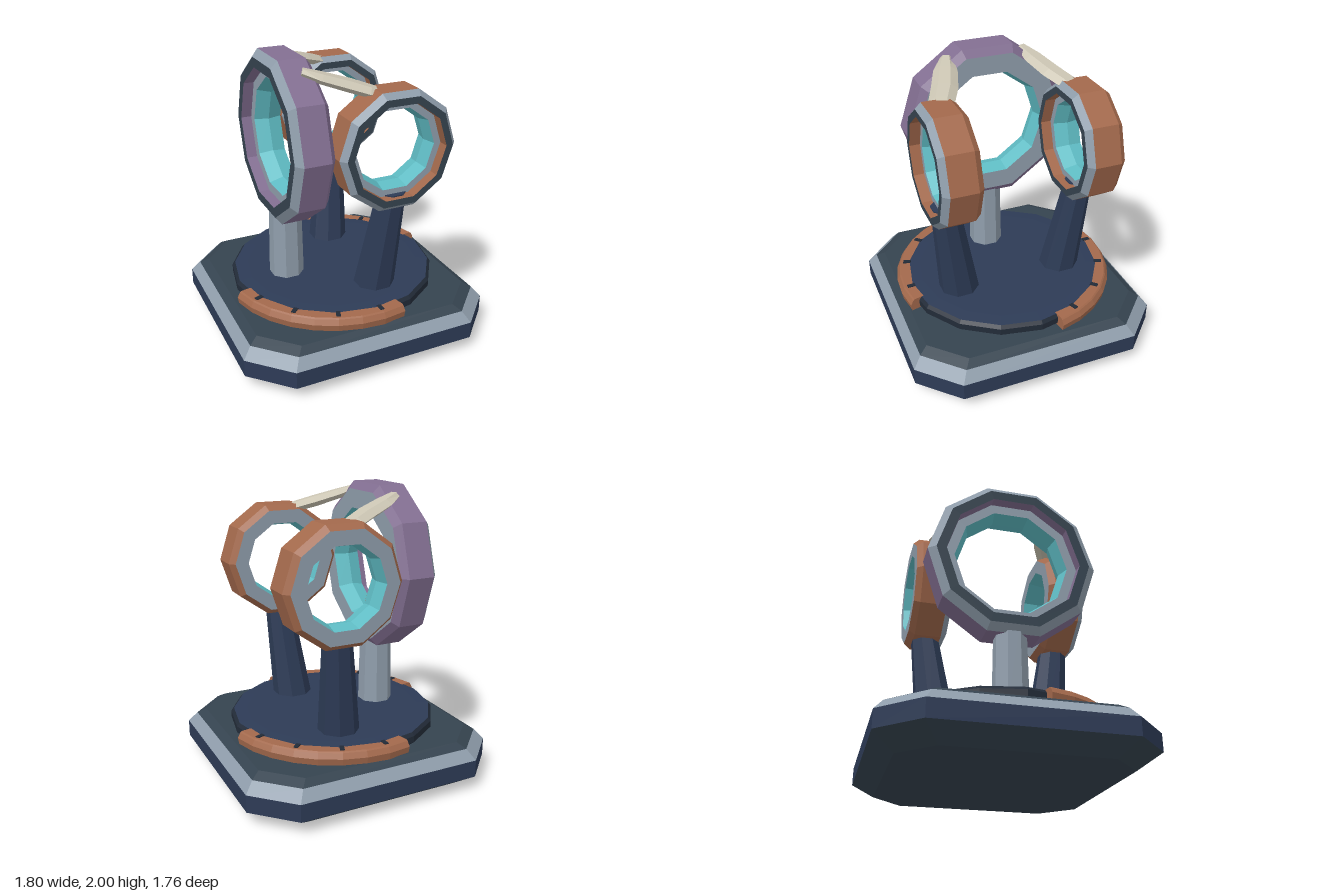
import * as THREE from 'three';

const mat = (name, color) => Object.assign(new THREE.MeshStandardMaterial({ color }), { name });
const V = (x, y, z) => new THREE.Vector3(x, y, z);

// Faceted geometry through a list of equal-length loops, optionally capped
function loft(loops, capStart = true, capEnd = true) {
  const pts = [];
  const n = loops[0].length;
  for (let i = 0; i < loops.length - 1; i++) {
    for (let j = 0; j < n; j++) {
      const k = (j + 1) % n;
      const a = loops[i][j], b = loops[i][k], c = loops[i + 1][k], d = loops[i + 1][j];
      pts.push(a, b, c, a, c, d);
    }
  }
  const first = loops[0], last = loops[loops.length - 1];
  for (let j = 1; j < n - 1; j++) {
    if (capStart) pts.push(first[0], first[j + 1], first[j]);
    if (capEnd) pts.push(last[0], last[j], last[j + 1]);
  }
  const g = new THREE.BufferGeometry().setFromPoints(pts);
  g.computeVertexNormals();
  return g;
}

// Faceted solid of revolution
function facetLathe(profile, sides, start = 0) {
  const pts = profile.map(([r, y]) => new THREE.Vector2(r, y));
  const g = new THREE.LatheGeometry(pts, sides, start).toNonIndexed();
  g.computeVertexNormals();
  return g;
}

const circle = (x, y, z, r, n = 8) => Array.from({ length: n }, (_, i) => {
  const a = ((i + 0.5) / n) * Math.PI * 2;
  return V(x + r * Math.cos(a), y, z - r * Math.sin(a));
});

export function createModel() {
  const root = new THREE.Group();
  root.name = 'ringMonument';
  const navy = mat('navy', 0x2d3b56);
  const slate = mat('slate', 0x35434f);
  const charcoal = mat('charcoal', 0x222b38);
  const steel = mat('steel', 0x8f9dab);
  const copper = mat('copper', 0xa3694c);
  const purple = mat('purple', 0x836f92);
  const teal = mat('teal', 0x5fbcc4);
  const bone = mat('bone', 0xcac4b2);

  const add = (name, geometry, material, parent = root) => {
    const mesh = new THREE.Mesh(geometry, material);
    mesh.name = name;
    parent.add(mesh);
    return mesh;
  };

  // Base: chamfered rectangle, stacked in coloured bands
  const octagon = (s, y) => [
    [0.9, 0.625], [0.9, -0.625], [0.645, -0.88], [-0.645, -0.88],
    [-0.9, -0.625], [-0.9, 0.625], [-0.645, 0.88], [0.645, 0.88],
  ].map(([x, z]) => V(x * s, y, z * s));
  add('baseUnderside', loft([octagon(0.84, 0), octagon(1, 0.1)], true, false), slate);
  add('baseBand', loft([octagon(1, 0.1), octagon(1, 0.22)], false, false), navy);
  add('baseRim', loft([octagon(1, 0.22), octagon(0.935, 0.29)], false, false), steel);
  add('baseTop', loft([octagon(0.935, 0.29), octagon(0.87, 0.325)], false, true), slate);

  // Round platform
  add('platformSide', facetLathe([[0.7, 0.32], [0.73, 0.345], [0.73, 0.39], [0.71, 0.412]], 16), charcoal);
  add('platformTop', facetLathe([[0.71, 0.412], [0.62, 0.418], [0, 0.418]], 16), navy);

  // Two copper arcs with inlaid marks
  const arcSection = [[0.665, 0.32], [0.775, 0.32], [0.785, 0.37], [0.765, 0.405], [0.755, 0.413], [0.675, 0.413]];
  for (const [name, startDeg] of [['frontArc', 76], ['backArc', 256]]) {
    const loops = [];
    for (let i = 0; i <= 8; i++) {
      const a = THREE.MathUtils.degToRad(startDeg + i * 11.75);
      loops.push(arcSection.map(([r, y]) => V(r * Math.cos(a), y, r * Math.sin(a))));
    }
    add(name, loft(loops), copper);
    for (let i = 0; i < 4; i++) {
      const a = THREE.MathUtils.degToRad(startDeg + 11.75 + i * 23.5);
      const mark = add('arcMark', new THREE.BoxGeometry(0.055, 0.009, 0.03), charcoal);
      mark.position.set(0.712 * Math.cos(a), 0.4145, 0.712 * Math.sin(a));
      mark.rotation.y = -a;
    }
  }

  // Pillars: one upright, two leaning outward
  add('rearPillar', loft([circle(-0.355, 0.41, 0, 0.122), circle(-0.355, 0.95, 0, 0.112)]), steel);
  for (const s of [1, -1]) {
    add(s > 0 ? 'frontPillar' : 'backPillar',
      loft([circle(0.145, 0.41, 0.39 * s, 0.142), circle(0.207, 1.14, 0.49 * s, 0.096)]), navy);
  }

  // Ten-sided ring along z: hull, trim, lip, recessed floor, lining, back plate
  function ring(name, hull, k) {
    const g = new THREE.Group();
    g.name = name;
    const band = (part, material, profile) => {
      const geo = facetLathe(profile.map(([r, t]) => [r * k, t]), 10, Math.PI / 10);
      add(part, geo.rotateX(Math.PI / 2), material, g);
    };
    band('hull', hull, [[0.376, -0.134], [0.413, -0.092], [0.413, 0.092]]);
    band('frontTrim', steel, [[0.413, 0.092], [0.376, 0.134]]);
    band('lip', slate, [[0.376, 0.134], [0.328, 0.134]]);
    band('recessWall', hull, [[0.328, 0.134], [0.328, 0.06]]);
    band('recessFloor', steel, [[0.328, 0.06], [0.28, 0.06]]);
    band('lining', teal, [[0.28, 0.06], [0.257, -0.035], [0.28, -0.134]]);
    band('backPlate', steel, [[0.28, -0.134], [0.376, -0.134]]);
    root.add(g);
    return g;
  }
  ring('frontRing', copper, 1).position.set(0.2, 1.443, 0.48);
  ring('backRing', copper, 1).position.set(0.2, 1.443, -0.48);
  const large = ring('largeRing', purple, 1.42);
  large.position.set(-0.355, 1.443, 0);
  large.rotation.y = -Math.PI / 2;

  // Bone braces joining the large ring to the small ones
  const path = [ // x, y, z, half width, half height
    [-0.325, 1.94, 0.27, 0.042, 0.024],
    [-0.21, 1.9, 0.315, 0.08, 0.032],
    [-0.05, 1.85, 0.375, 0.088, 0.036],
    [0.06, 1.815, 0.43, 0.085, 0.034],
    [0.18, 1.785, 0.46, 0.04, 0.022],
  ];
  for (const s of [1, -1]) {
    const dir = V(0.5, -0.16, 0.2 * s).normalize();
    const side = V(0, 1, 0).cross(dir).normalize();
    const up = dir.clone().cross(side);
    const loops = path.map(([x, y, z, w, h]) =>
      [[1, 0], [0.45, 1], [-0.45, 1], [-1, 0], [-0.45, -1], [0.45, -1]].map(([u, v]) =>
        V(x, y, z * s).addScaledVector(side, u * w).addScaledVector(up, v * h)));
    add(s > 0 ? 'frontBrace' : 'backBrace', loft(loops), bone);
  }
  return root;
}
